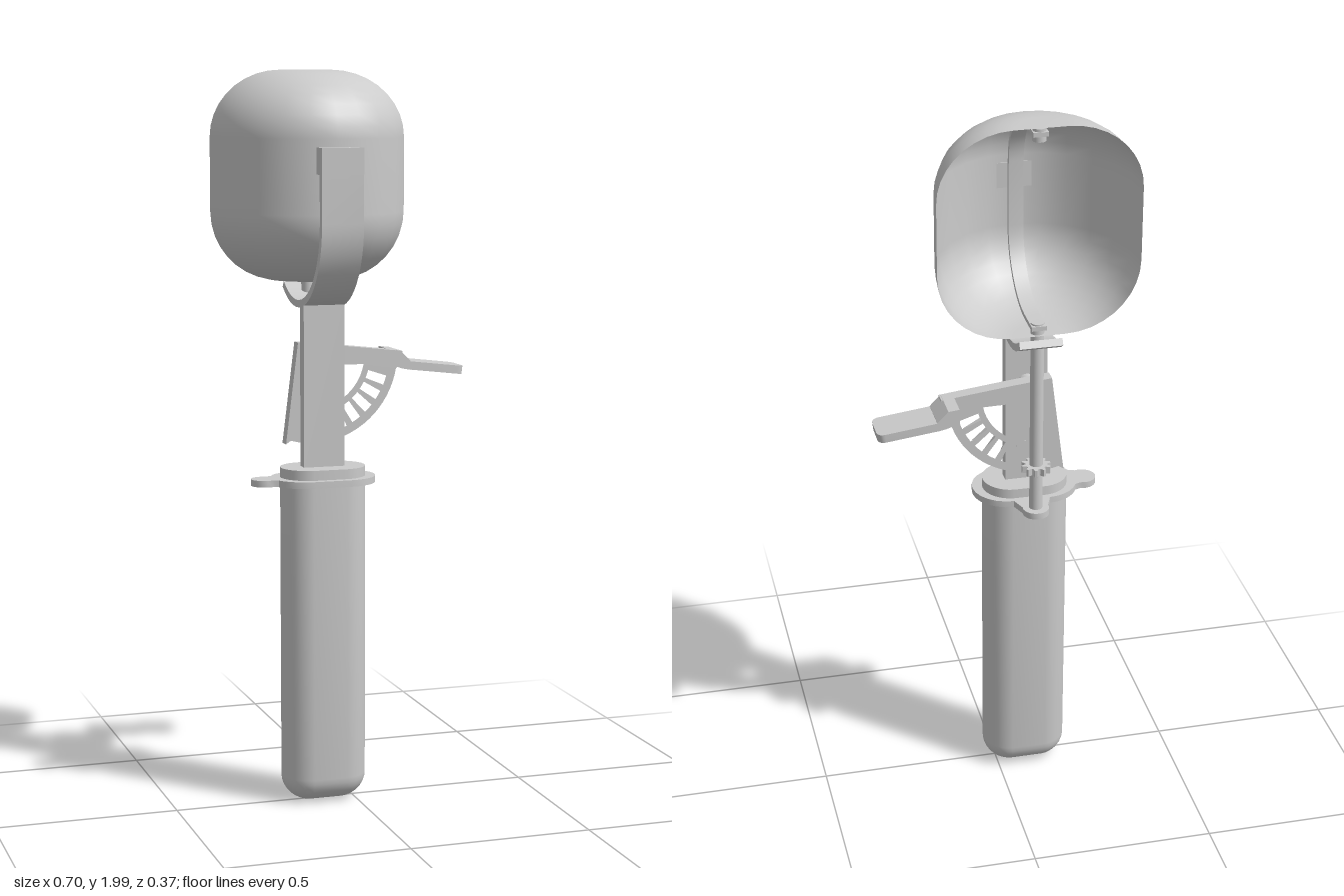
import * as THREE from 'three';
import { toCreasedNormals } from 'three/addons/utils/BufferGeometryUtils.js';

const CX = -0.082; // the handle, bowl and rod share this x
const mat = new THREE.MeshStandardMaterial({ color: 0xcccccc });
const thinMat = new THREE.MeshStandardMaterial({ color: 0xcccccc, side: THREE.DoubleSide });
const V = (x, y) => new THREE.Vector2(x, y);
const rad = THREE.MathUtils.degToRad;

export function createModel() {
  const group = new THREE.Group();

  const add = (name, geo, x = 0, y = 0, z = 0, material = mat) => {
    const mesh = new THREE.Mesh(geo, material);
    mesh.name = name;
    mesh.position.set(x, y, z);
    group.add(mesh);
    return mesh;
  };
  const extrude = (shape, depth) => toCreasedNormals(
    new THREE.ExtrudeGeometry(shape, { depth, bevelEnabled: false, curveSegments: 16 }), 0.6);
  // Points on an ellipse, angles in degrees
  const arc = (cx, cy, rx, ry, a0, a1, n) => Array.from({ length: n + 1 }, (_, i) => {
    const a = rad(a0 + (a1 - a0) * i / n);
    return V(cx + rx * Math.cos(a), cy + ry * Math.sin(a));
  });
  // Bent strip: a (z, y) centre line, thickened and extruded across x
  const strip = (pts, thick, width) => {
    const side = s => pts.map((p, i) => {
      const a = pts[Math.max(i - 1, 0)], b = pts[Math.min(i + 1, pts.length - 1)];
      const d = b.clone().sub(a).normalize();
      return V(p.x - d.y * s * thick / 2, p.y + d.x * s * thick / 2);
    });
    const geo = extrude(new THREE.Shape([...side(1), ...side(-1).reverse()]), width);
    return geo.translate(0, 0, -width / 2).rotateY(-Math.PI / 2);
  };

  // Handle: a lathed round-ended grip, its halves pulled apart into a stadium section
  const grip = new THREE.LatheGeometry([
    ...arc(0, 0.075, 0.0775, 0.07, -89.9, 0, 8), V(0.0775, 0.935), V(0.0001, 0.935),
  ], 34, Math.PI / 34);
  const gp = grip.attributes.position;
  for (let i = 0; i < gp.count; i++) gp.setX(i, gp.getX(i) + Math.sign(gp.getX(i)) * 0.04);
  add('handle', toCreasedNormals(grip, 0.7), CX, 0, -0.003);

  // Collar plate with a thumb tab at the side and a rod seat at the back
  const collar = new THREE.Shape([
    ...arc(0.05, 0, 0.095, 0.095, -90, 90, 12),
    ...arc(0, 0.14, 0.036, 0.036, -10, 190, 10),
    ...arc(-0.05, 0, 0.095, 0.095, 90, 155, 5),
    ...arc(-0.165, 0, 0.037, 0.037, 70, 290, 10),
    ...arc(-0.05, 0, 0.095, 0.095, 205, 270, 5),
  ]);
  add('collarPlate', extrude(collar, 0.018).rotateX(-Math.PI / 2), CX, 0.89, 0);

  // Flat post and the curved bracket that carries the bowl
  add('post', new THREE.BoxGeometry(0.115, 0.45, 0.035), CX, 1.155, -0.003);
  add('bracket', strip([V(0.172, 1.79), ...arc(-0.05, 1.6, 0.222, 0.225, 0, -126, 18)], 0.02, 0.115), CX);
  add('bracketPad', new THREE.BoxGeometry(0.115, 0.07, 0.05), CX, 1.763, 0.158);

  // Half bowl, open at the back
  const bowlProfile = [
    V(0.0001, 1.43), ...arc(0.07, 1.62, 0.198, 0.19, -90, 0, 9),
    ...arc(0.07, 1.82, 0.198, 0.18, 0, 90, 9), V(0.0001, 2),
  ];
  const bowl = new THREE.LatheGeometry(bowlProfile, 12, -Math.PI / 2, Math.PI);
  bowl.scale(1, 1, 0.3 / 0.268);
  add('bowl', bowl, CX, 0, -0.16, thinMat);

  // Sweeping scraper blade just inside the bowl, with its top pivot
  add('scraper', strip([
    V(-0.158, 1.45), ...arc(-0.08, 1.63, 0.195, 0.18, -90, 0, 10),
    ...arc(-0.08, 1.81, 0.195, 0.172, 0, 90, 10), V(-0.158, 1.982),
  ], 0.012, 0.04), CX);
  add('scraperPivot', new THREE.CylinderGeometry(0.018, 0.018, 0.035, 16), CX, 1.978, -0.138);

  // Turning rod and its pinion
  add('rod', new THREE.CylinderGeometry(0.018, 0.018, 0.57, 16), CX, 1.175, -0.137);
  const teeth = Array.from({ length: 40 }, (_, i) => {
    const a = i * Math.PI / 20, r = i % 4 < 2 ? 0.04 : 0.029;
    return V(r * Math.cos(a), r * Math.sin(a));
  });
  add('pinion', extrude(new THREE.Shape(teeth), 0.02).rotateX(-Math.PI / 2), CX, 1.02, -0.137);

  // Toothed sector: open frame with slots along its arc
  const px = -0.09, py = 1.23;
  const ring = (r, a0, a1, n) => arc(px, py, r, r, a0, a1, n);
  const sector = new THREE.Shape([
    V(-0.135, 1.268), V(-0.025, 1.257), V(0.165, 1.235), V(0.17, 1.2),
    ...ring(0.24, -10, -106, 20), V(-0.17, 0.99),
  ]);
  sector.holes.push(new THREE.Path([V(-0.105, 1.205), ...ring(0.145, -11, -100, 14)]));
  for (let i = 0; i < 7; i++) {
    const a = -20 - 12 * i;
    sector.holes.push(new THREE.Path([...ring(0.162, a - 4, a + 4, 2), ...ring(0.217, a + 3.5, a - 3.5, 2)]));
  }
  add('gearSector', extrude(sector, 0.035), 0, 0, -0.09);
  add('sectorPin', new THREE.CylinderGeometry(0.028, 0.028, 0.05, 20).rotateX(Math.PI / 2), CX, 1.225, -0.04);

  // Thumb lever: a cranked neck and a rounded pad
  const neck = new THREE.Shape([
    V(0.13, 1.239), V(0.16, 1.236), V(0.19, 1.206), V(0.19, 1.181), V(0.165, 1.186), V(0.13, 1.198),
  ]);
  add('leverNeck', extrude(neck, 0.101), 0, 0, -0.158);
  const pad = new THREE.Shape([
    V(0, -0.0505), ...arc(0.14, -0.0305, 0.02, 0.02, -90, 0, 5),
    ...arc(0.14, 0.0305, 0.02, 0.02, 0, 90, 5), V(0, 0.0505),
  ]);
  const padMesh = add('leverPad', extrude(pad, 0.023).rotateX(-Math.PI / 2), 0.187, 1.182, -0.1075);
  padMesh.rotation.z = -0.12;

  return group;
}
